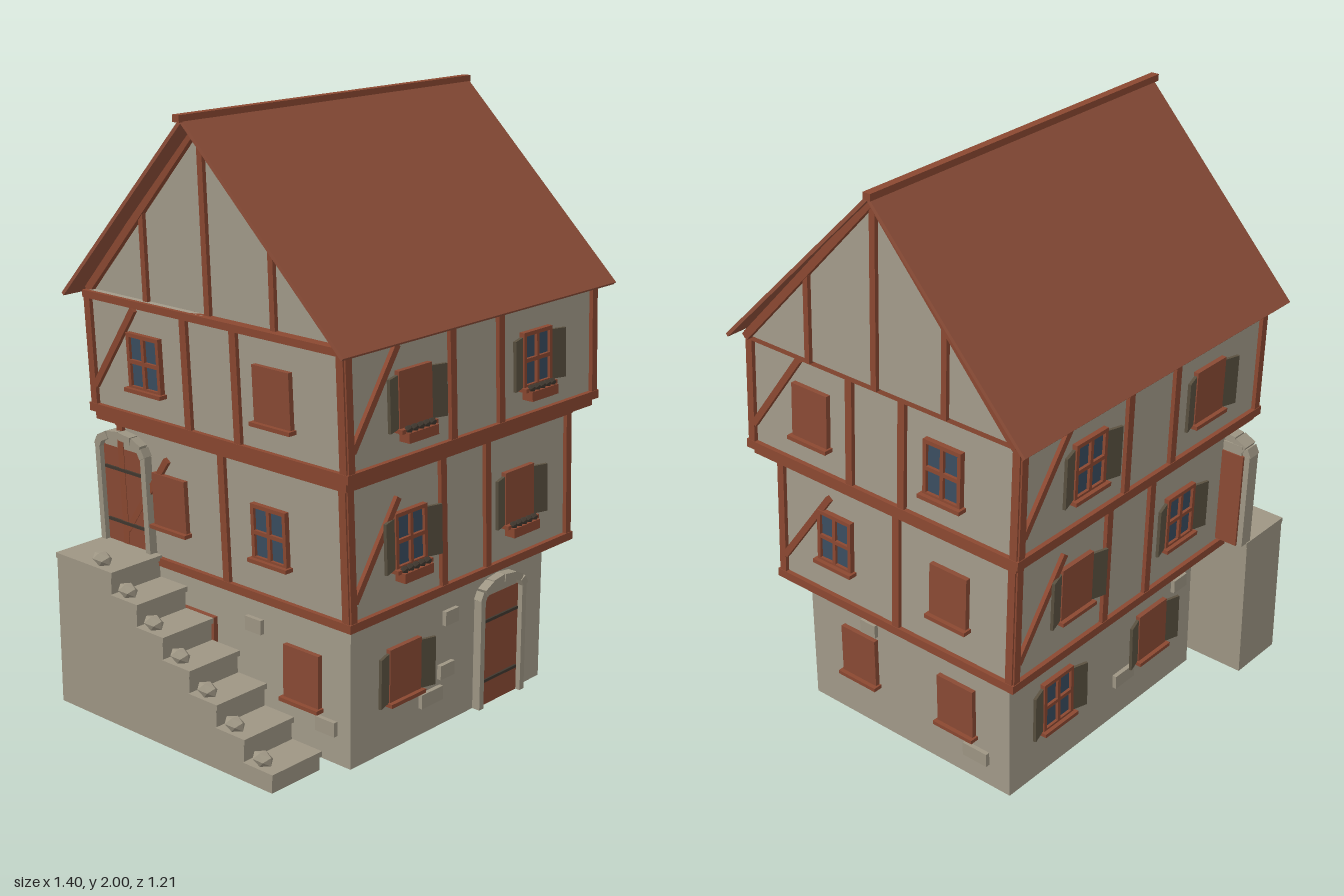
import * as THREE from 'three';

const material = (name, color, side = THREE.FrontSide) => {
  const m = new THREE.MeshStandardMaterial({ color, side });
  m.name = name;
  return m;
};

export function createModel() {
  const plaster = material('plaster', 0xa39b8a);
  const stone = material('stone', 0x9e9684);
  const timber = material('timber', 0x8b4831);
  const roofTile = material('roof tile', 0x90503a);
  const panelRed = material('painted panel', 0x8a4a34);
  const shutterOlive = material('shutter olive', 0x5b5241);
  const glassBlue = material('window glass', 0x3a4d60);
  const iron = material('dark iron', 0x40382f);

  const house = new THREE.Group();
  house.name = 'timberHouse';

  const add = (parent, geo, mat, name, x = 0, y = 0, z = 0) => {
    const mesh = new THREE.Mesh(geo, mat);
    mesh.name = name;
    mesh.position.set(x, y, z);
    parent.add(mesh);
    return mesh;
  };
  const box = (parent, name, mat, w, h, d, x, y, z) =>
    add(parent, new THREE.BoxGeometry(w, h, d), mat, name, x, y, z);
  // Box given by its limits on each axis
  const block = (parent, name, mat, [x0, x1], [y0, y1], [z0, z1]) =>
    box(parent, name, mat, x1 - x0, y1 - y0, z1 - z0, (x0 + x1) / 2, (y0 + y1) / 2, (z0 + z1) / 2);
  // Straight bar between two points on a wall face
  const bar = (parent, name, mat, u0, v0, u1, v1, width = 0.027, depth = 0.028, w = 0) => {
    const b = box(parent, name, mat, width, Math.hypot(u1 - u0, v1 - v0), depth,
      (u0 + u1) / 2, (v0 + v1) / 2, w);
    b.rotation.z = Math.atan2(u0 - u1, v1 - v0);
    return b;
  };
  const newGroup = (name) => {
    const g = new THREE.Group();
    g.name = name;
    house.add(g);
    return g;
  };
  // Wall face frames: local x runs right, y up, z outward
  const faces = (parent, [x0, x1], [z0, z1]) => {
    const make = (name, angle, x, z) => {
      const g = new THREE.Group();
      g.name = name;
      g.rotation.y = angle;
      g.position.set(x, 0, z);
      parent.add(g);
      return g;
    };
    return {
      front: make('frontWall', 0, 0, z1), right: make('rightWall', Math.PI / 2, x1, 0),
      back: make('backWall', Math.PI, 0, z0), left: make('leftWall', -Math.PI / 2, x0, 0),
    };
  };
  // Bake transforms, leaning the storey sideways with height
  const lean = (group, k, y0) => {
    group.updateMatrixWorld(true);
    const shear = new THREE.Matrix4().set(1, -k, 0, k * y0, 0, 1, 0, 0, 0, 0, 1, 0, 0, 0, 0, 1);
    group.traverse((o) => {
      if (o.isMesh) o.geometry.applyMatrix4(shear.clone().multiply(o.matrixWorld));
    });
    group.traverse((o) => {
      o.position.set(0, 0, 0);
      o.rotation.set(0, 0, 0);
      o.scale.set(1, 1, 1);
    });
  };

  const addWindow = (face, u, v, { glass = false, shutters = false, planter = false } = {}) => {
    if (glass) {
      box(face, 'windowGlass', glassBlue, 0.14, 0.17, 0.04, u, v, -0.012);
      for (const s of [-1, 0, 1]) {
        box(face, 'windowUpright', timber, 0.013, 0.185, 0.04, u + s * 0.067, v, -0.002);
        box(face, 'windowCrossbar', timber, 0.146, 0.013, 0.04, u, v + s * 0.086, -0.002);
      }
    } else {
      box(face, 'windowPanel', panelRed, 0.15, 0.18, 0.05, u, v, -0.008);
    }
    box(face, 'windowSill', timber, 0.165, 0.013, 0.04, u, v - 0.093, 0.012);
    if (shutters) for (const s of [-1, 1]) {
      box(face, 'shutter', shutterOlive, 0.062, 0.165, 0.01, u + s * 0.102, v - 0.005, 0.016)
        .rotation.y = -s * 0.3;
    }
    if (planter) {
      box(face, 'flowerBox', timber, 0.135, 0.032, 0.04, u, v - 0.112, 0.026);
      for (let i = -2; i <= 2; i++) {
        add(face, new THREE.IcosahedronGeometry(0.014, 0), iron, 'plant', u + i * 0.027, v - 0.088, 0.032);
      }
    }
  };

  const addDoor = (face, u, base, h) => {
    box(face, 'doorPanel', panelRed, 0.2, h, 0.04, u, base + h / 2, -0.008);
    for (const f of [0.23, 0.78]) {
      box(face, 'doorHinge', iron, 0.18, 0.01, 0.01, u, base + h * f, 0.014);
    }
    box(face, 'doorLintel', stone, 0.18, 0.035, 0.035, u, base + h + 0.016, -0.006);
    for (const s of [-1, 1]) {
      bar(face, 'doorJamb', stone, u + s * 0.109, base, u + s * 0.109, base + h, 0.022, 0.05, 0.005);
    }
    const at = (i) => [u - 0.112 * Math.cos(i * Math.PI / 6), base + h - 0.005 + 0.055 * Math.sin(i * Math.PI / 6)];
    for (let i = 0; i < 6; i++) {
      bar(face, 'archStone', stone, ...at(i), ...at(i + 1), 0.026, i % 2 ? 0.056 : 0.05, 0.006);
    }
  };

  // Ground floor: hollow stone walls, open underneath
  const ground = newGroup('groundFloor');
  const gx = [-0.42, 0.54], gz = [-0.41, 0.455];
  const rect = (Type, i) => new Type([[gx[0] + i, -gz[1] + i], [gx[1] - i, -gz[1] + i],
    [gx[1] - i, -gz[0] - i], [gx[0] + i, -gz[0] - i]].map((p) => new THREE.Vector2(...p)));
  const plan = rect(THREE.Shape, 0);
  plan.holes.push(rect(THREE.Path, 0.015));
  const shell = new THREE.ExtrudeGeometry(plan, { depth: 0.495, bevelEnabled: false });
  shell.rotateX(-Math.PI / 2);
  add(ground, shell, plaster, 'groundWalls');
  const gf = faces(ground, gx, gz);
  addWindow(gf.front, -0.18, 0.26, { shutters: true });
  addDoor(gf.front, 0.3, 0, 0.385);
  for (const u of [-0.23, 0.195]) addWindow(gf.right, u, 0.257);
  addWindow(gf.back, -0.315, 0.26, { glass: true, shutters: true });
  addWindow(gf.back, 0.185, 0.26, { shutters: true });
  for (const u of [-0.2, 0.26]) addWindow(gf.left, u, 0.257);
  // Loose stones showing through the plaster: face, u, v, width
  for (const [side, u, v, w] of [
    ['front', 0.05, 0.37, 0.065], ['front', 0.03, 0.19, 0.07], ['front', -0.045, 0.12, 0.105],
    ['right', -0.185, 0.385, 0.065], ['right', 0.275, 0.105, 0.1],
    ['back', 0.04, 0.15, 0.1], ['back', 0.34, 0.37, 0.07], ['left', 0.05, 0.37, 0.07], ['left', 0.36, 0.12, 0.08],
  ]) box(gf[side], 'wallStone', stone, w, 0.048, 0.03, u, v, 0);

  // Timber-framed storey: plates, posts and corner braces
  const storey = (name, wx, wz, y0, y1, posts) => {
    const g = newGroup(name);
    const grow = ([a, b], d) => [a - d, b + d];
    block(g, 'plasterWalls', plaster, wx, [y0, y1], wz);
    block(g, 'floorPlate', timber, grow(wx, 0.016), [y0, y0 + 0.028], grow(wz, 0.016));
    block(g, 'topPlate', timber, grow(wx, 0.014), [y1 - 0.024, y1], grow(wz, 0.014));
    const f = faces(g, wx, wz);
    const ends = { front: wx, right: [-wz[1], -wz[0]], back: [-wx[1], -wx[0]], left: wz };
    for (const [side, [u0, u1]] of Object.entries(ends)) {
      for (const u of [u0 + 0.005, ...posts[side], u1 - 0.005]) {
        bar(f[side], 'wallPost', timber, u, y0 + 0.01, u, y1 - 0.01);
      }
      bar(f[side], 'cornerBrace', timber, u0 + 0.015, y0 + 0.09, u0 + 0.22, y0 + 0.375, 0.022);
    }
    return [g, f];
  };

  // Middle storey
  const [middle, mf] = storey('middleStorey', [-0.485, 0.6], [-0.482, 0.502], 0.49, 0.962,
    { front: [-0.055, 0.165], back: [-0.165, 0.055], right: [0.01], left: [-0.01] });
  addWindow(mf.front, -0.215, 0.725, { glass: true, shutters: true, planter: true });
  addWindow(mf.front, 0.325, 0.725, { shutters: true, planter: true });
  addWindow(mf.right, -0.255, 0.722, { glass: true });
  addWindow(mf.right, 0.23, 0.722);
  addWindow(mf.back, -0.32, 0.725, { shutters: true });
  addWindow(mf.back, 0.215, 0.725, { glass: true, shutters: true });
  addWindow(mf.left, -0.255, 0.722);
  addWindow(mf.left, 0.19, 0.722, { glass: true });
  addDoor(mf.left, -0.465, 0.525, 0.335);
  lean(middle, 0.045, 0.73);

  // Upper storey with the jetty beam below it
  const ux = [-0.55, 0.652], uz = [-0.545, 0.55];
  const [upper, uf] = storey('upperStorey', ux, uz, 0.985, 1.388,
    { front: [-0.08, 0.155], back: [-0.155, 0.08], right: [-0.115, 0.1], left: [-0.1, 0.115] });
  block(upper, 'jettyBeam', timber, [-0.56, 0.65], [0.96, 0.987], [-0.54, 0.552]);
  addWindow(uf.front, -0.26, 1.19, { shutters: true, planter: true });
  addWindow(uf.front, 0.335, 1.19, { glass: true, shutters: true, planter: true });
  addWindow(uf.right, -0.28, 1.19);
  addWindow(uf.right, 0.265, 1.19, { glass: true });
  addWindow(uf.back, -0.345, 1.19, { glass: true, shutters: true });
  addWindow(uf.back, 0.255, 1.19, { shutters: true });
  addWindow(uf.left, -0.285, 1.19, { glass: true });
  addWindow(uf.left, 0.27, 1.19);
  lean(upper, 0.05, 1.19);

  // Attic: gable prism, gable timbers, roof slopes and ridge
  const attic = newGroup('attic');
  const tri = new THREE.Shape([[-0.55, 1.385], [0.545, 1.385], [0.01, 1.955]].map((p) => new THREE.Vector2(...p)));
  const prism = new THREE.ExtrudeGeometry(tri, { depth: ux[1] - ux[0], bevelEnabled: false });
  prism.rotateY(Math.PI / 2);
  add(attic, prism, plaster, 'gableWalls', ux[0]);
  const af = faces(attic, ux, uz);
  for (const [face, c] of [[af.right, 0.01], [af.left, -0.01]]) {
    bar(face, 'gablePost', timber, c, 1.38, c, 1.96, 0.022);
    for (const s of [-1, 1]) {
      bar(face, 'gablePost', timber, c + s * 0.275, 1.38, c + s * 0.275, 1.665, 0.02);
      bar(face, 'bargeBoard', timber, c + s * 0.545, 1.385, c, 1.968, 0.026, 0.036);
    }
  }
  for (const [end, name] of [[0.6, 'frontRoof'], [-0.6, 'backRoof']]) {
    const run = end + 0.01, rise = 0.607;
    const slope = box(attic, name, roofTile, 1.315, Math.hypot(run, rise), 0.012,
      0.026, 1.375 + rise / 2, (end - 0.01) / 2);
    slope.rotation.x = -Math.atan2(run, rise);
  }
  box(attic, 'ridgeBeam', timber, 1.335, 0.022, 0.028, 0.022, 1.989, -0.014);
  lean(attic, 0.04, 1.68);

  // Outside stairs, rising toward the back, with a stone knob on every step
  const stairs = newGroup('outsideStairs');
  for (let i = 0; i < 7; i++) {
    const top = 0.065 + i * 0.077;
    const z1 = 0.385 - i * 0.118, z0 = i === 6 ? -0.588 : z1 - 0.118;
    block(stairs, 'stairStep', stone, [-0.695, -0.485], [0, top - 0.016], [z0, z1]);
    block(stairs, 'stairTread', stone, [-0.7, -0.482], [top - 0.018, top], [z0, z1 + 0.008]);
    add(stairs, new THREE.IcosahedronGeometry(0.026, 0), stone, 'stairKnob',
      -0.672, top + 0.022, 0.325 - i * 0.119).scale.z = 1.6;
  }
  return house;
}
